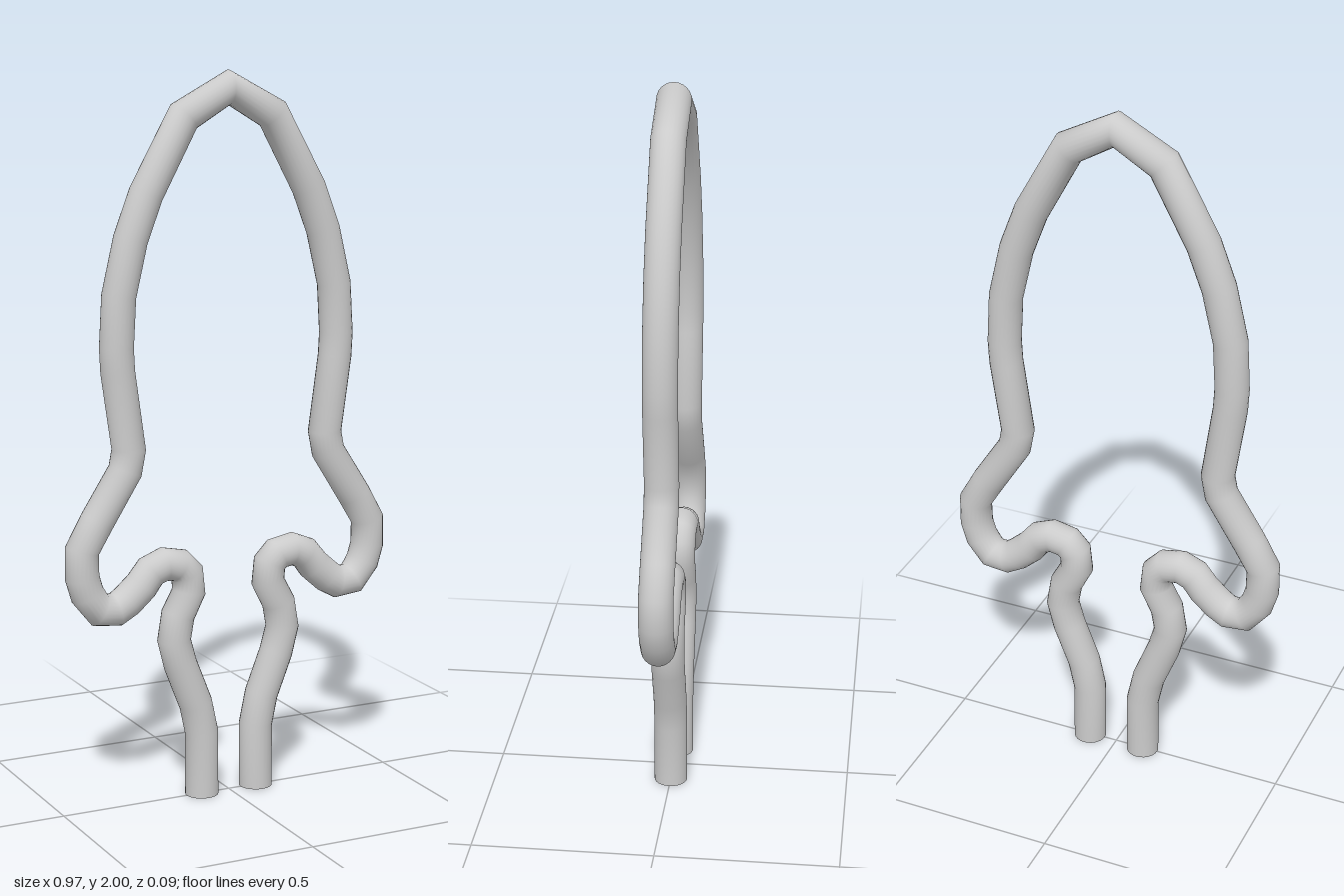
import * as THREE from 'three';

const RADIUS = 0.0465;

// Centre line of the left half, from the foot up to the tip
const half = [
  [0.084, 0], [0.084, 0.18], [0.102, 0.265], [0.148, 0.382], [0.167, 0.455],
  [0.155, 0.525], [0.122, 0.588], [0.127, 0.64], [0.15, 0.664], [0.196, 0.673],
  [0.236, 0.657], [0.265, 0.62], [0.307, 0.583], [0.34, 0.563], [0.388, 0.567],
  [0.423, 0.614], [0.437, 0.662], [0.437, 0.736], [0.394, 0.81], [0.309, 0.943],
  [0.298, 1.0], [0.328, 1.213], [0.331, 1.276], [0.323, 1.414], [0.288, 1.562],
  [0.243, 1.679], [0.132, 1.88], [0, 1.953],
];

// Polyline whose tangent at each corner bisects the two neighbouring segments
class BentWire extends THREE.Curve {
  constructor(points) {
    super();
    this.points = points;
  }
  getPoint(t, target = new THREE.Vector3()) {
    const last = this.points.length - 1;
    const i = Math.min(Math.floor(t * last + 1e-6), last - 1);
    return target.lerpVectors(this.points[i], this.points[i + 1], t * last - i);
  }
  getPointAt(u, target) {
    return this.getPoint(u, target);
  }
  getTangentAt(u, target = new THREE.Vector3()) {
    const p = this.points, last = p.length - 1;
    const i = Math.round(u * last);
    target.set(0, 0, 0);
    if (i > 0) target.add(p[i].clone().sub(p[i - 1]).normalize());
    if (i < last) target.add(p[i + 1].clone().sub(p[i]).normalize());
    return target.normalize();
  }
}

export function createModel() {
  const group = new THREE.Group();
  group.name = 'rocketOutline';
  const material = new THREE.MeshStandardMaterial({ color: 0xcccccc });

  // Bent tube: left half up to the tip, then mirrored down the right
  const left = half.map(([x, y]) => new THREE.Vector3(x, y, 0));
  const right = half.slice(0, -1).reverse().map(([x, y]) => new THREE.Vector3(-x, y, 0));
  const points = [...left, ...right];
  const tube = new THREE.Mesh(
    new THREE.TubeGeometry(new BentWire(points), points.length - 1, RADIUS, 24, false),
    material
  );
  tube.name = 'bentTube';
  group.add(tube);

  // Flat caps closing the two feet
  for (const side of [1, -1]) {
    const cap = new THREE.Mesh(new THREE.CircleGeometry(RADIUS, 24).rotateX(Math.PI / 2), material);
    cap.position.x = side * half[0][0];
    cap.name = side > 0 ? 'leftFootCap' : 'rightFootCap';
    group.add(cap);
  }
  return group;
}
